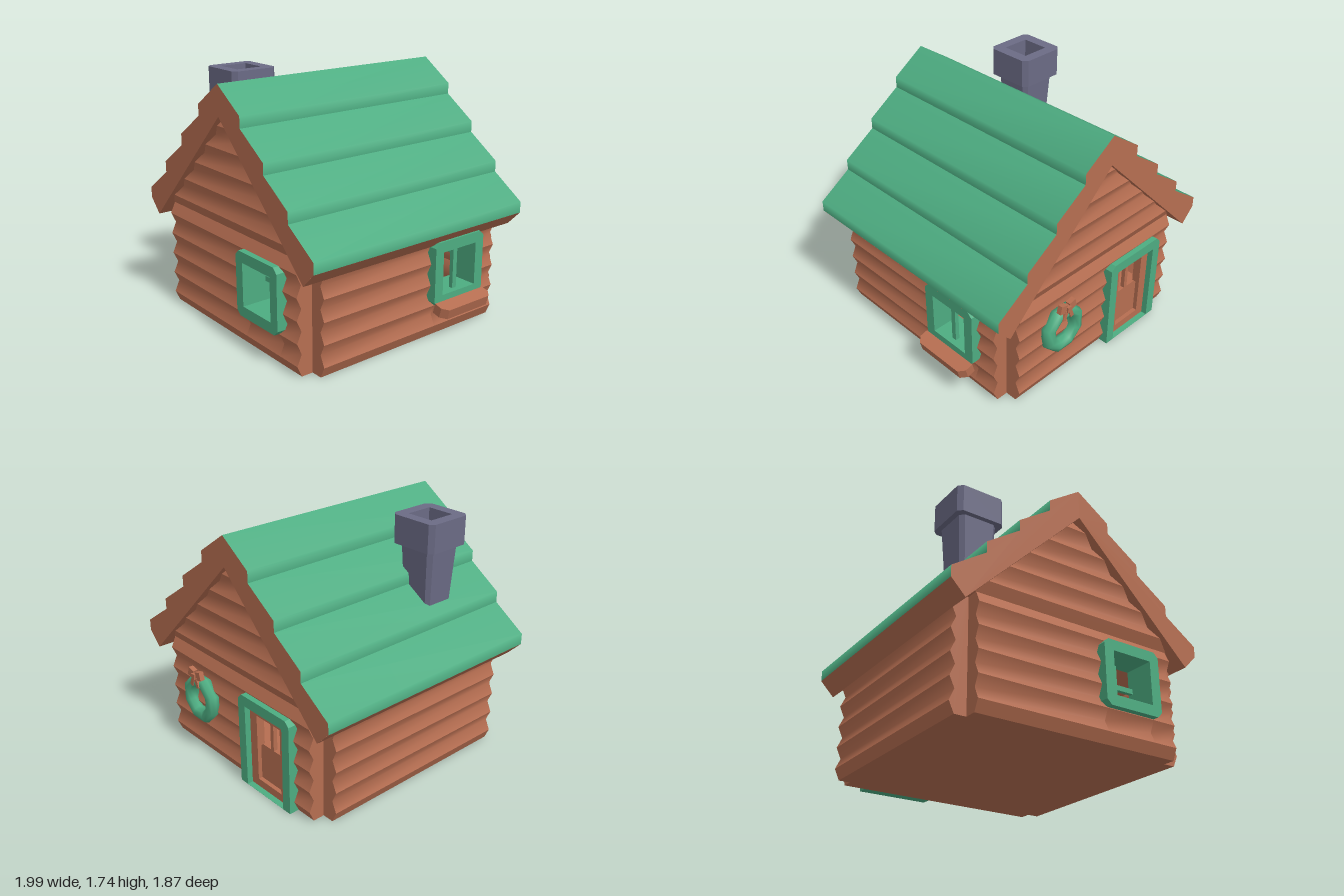
import * as THREE from 'three';

const mat = (name, color) => new THREE.MeshStandardMaterial({ name, color, side: THREE.DoubleSide });
const wood = mat('brown wood', 0xb66e51);
const green = mat('green paint', 0x4dac81);
const stone = mat('grey stone', 0x6b6b85);

const H = 0.153;          // height of one log
const CORNER = 0.757;     // half width of the wall panels
const VALLEY = 0.84, RIDGE = 0.875;
const EAVE = 5 * H, APEX = 10 * H;

function add(parent, name, geo, material, x = 0, y = 0, z = 0) {
  const m = new THREE.Mesh(geo, material);
  m.name = name;
  m.position.set(x, y, z);
  parent.add(m);
  return m;
}

const box = (w, h, d) => new THREE.BoxGeometry(w, h, d);

// Outward position of the log surface at a height
const logOut = y => {
  const t = (y / H) % 1;
  return VALLEY + (RIDGE - VALLEY) * (1 - Math.abs(2 * t - 1));
};

// Heights where the log surface bends, between two limits
function bends(y0, y1) {
  const ys = [y0];
  for (let k = 1; k < 21; k++) {
    const y = k * H / 2;
    if (y > y0 + 0.001 && y < y1 - 0.001) ys.push(y);
  }
  return [...ys, y1];
}

// Log surface between two sides; valleys are smooth, ridges are sharp
function logSurface(y0, y1, left, right) {
  const pos = [], index = [];
  let fresh = true;
  const row = y => { const z = logOut(y); pos.push(left(y), y, z, right(y), y, z); };
  const ys = bends(y0, y1);
  for (let i = 0; i < ys.length - 1; i++) {
    if (fresh) row(ys[i]);
    row(ys[i + 1]);
    const b = pos.length / 3 - 4;
    index.push(b, b + 1, b + 3, b, b + 3, b + 2);
    fresh = Math.round(ys[i + 1] / (H / 2)) % 2 === 1;
  }
  const g = new THREE.BufferGeometry();
  g.setAttribute('position', new THREE.Float32BufferAttribute(pos, 3));
  g.setIndex(index);
  g.computeVertexNormals();
  return g;
}

// Flat jagged end of a log wall
function logEnd() {
  const ys = bends(0, EAVE);
  const pts = ys.map(y => new THREE.Vector2(logOut(y), y));
  pts.push(new THREE.Vector2(CORNER, EAVE), new THREE.Vector2(CORNER, 0));
  return new THREE.ShapeGeometry(new THREE.Shape(pts)).rotateY(-Math.PI / 2);
}

// One wall, built around an optional opening [x0, x1, y0, y1]
function logWall(hole, gable) {
  const g = new THREE.Group();
  const piece = (x0, x1, y0, y1) => {
    if (y1 - y0 > 0.001) add(g, 'logWall', logSurface(y0, y1, () => x0, () => x1), wood);
  };
  if (hole) {
    const [x0, x1, y0, y1] = hole;
    piece(-CORNER, x0, 0, EAVE);
    piece(x1, CORNER, 0, EAVE);
    piece(x0, x1, 0, y0);
    piece(x0, x1, y1, EAVE);
  } else piece(-CORNER, CORNER, 0, EAVE);
  for (const s of [-1, 1]) add(g, 'logEnds', logEnd(), wood, s * CORNER);
  if (gable) {
    const half = y => (APEX - y) * 0.994 + 0.008;
    add(g, 'gableLogs', logSurface(EAVE, APEX, y => -half(y), half), wood);
  }
  return g;
}

// Rectangle with cut corners
function cutRect(x0, x1, y0, y1, c, cutBottom = true) {
  const b = cutBottom ? c : 0;
  return new THREE.Shape([[x0 + b, y0], [x1 - b, y0], [x1, y0 + b], [x1, y1 - c],
    [x1 - c, y1], [x0 + c, y1], [x0, y1 - c], [x0, y0 + b]].map(p => new THREE.Vector2(...p)));
}
const rectHole = (x0, x1, y0, y1) => new THREE.Path(
  [[x0, y0], [x0, y1], [x1, y1], [x1, y0]].map(p => new THREE.Vector2(...p)));
const extrude = (shape, depth) => new THREE.ExtrudeGeometry(shape, { depth, bevelEnabled: false });

// Window with deep frame and glazing bars
function makeWindow(barZ, crossed) {
  const g = new THREE.Group();
  const s = cutRect(-0.227, 0.227, 0.235, 0.69, 0.035);
  s.holes.push(rectHole(-0.153, 0.153, 0.31, 0.615));
  add(g, 'windowFrame', extrude(s, 0.217), green, 0, 0, 0.7);
  add(g, 'windowBar', box(0.036, 0.305, 0.03), green, 0, 0.4625, barZ);
  if (crossed) add(g, 'windowBar', box(0.305, 0.036, 0.028), green, 0, 0.4625, barZ);
  return g;
}

function makeDoor() {
  const g = new THREE.Group();
  const frame = cutRect(-0.26, 0.26, 0, 0.68, 0.035, false);
  frame.holes.push(rectHole(-0.19, 0.19, 0.001, 0.605));
  add(g, 'doorFrame', extrude(frame, 0.117), green, 0, 0, 0.795);
  const leaf = cutRect(-0.19, 0.19, 0.003, 0.605, 0);
  leaf.holes.push(rectHole(-0.12, 0.12, 0.06, 0.55));
  add(g, 'doorLeaf', extrude(leaf, 0.06), wood, 0, 0, 0.81);
  add(g, 'doorPanel', extrude(cutRect(-0.12, 0.12, 0.06, 0.33, 0.02, false), 0.03), wood, 0, 0, 0.81);
  add(g, 'doorBar', box(0.03, 0.23, 0.03), wood, 0, 0.44, 0.825);
  return g;
}

function makeWreath() {
  const g = new THREE.Group();
  add(g, 'wreath', new THREE.TorusGeometry(0.135, 0.05, 8, 8), green, 0, 0.437, 0.89).rotation.z = Math.PI / 8;
  for (const s of [-1, 1]) {
    add(g, 'bowLoop', box(0.055, 0.06, 0.035), wood, s * 0.043, 0.637, 0.925).rotation.z = s * 0.25;
    add(g, 'bowTail', box(0.028, 0.075, 0.02), wood, s * 0.025, 0.58, 0.935).rotation.z = s * 0.35;
  }
  add(g, 'bowKnot', box(0.035, 0.04, 0.045), wood, 0, 0.625, 0.932);
  return g;
}

// Surface swept along z over a profile
function ribbon(pts, z) {
  const pos = [], index = [];
  pts.forEach(([x, y], i) => {
    pos.push(x, y, -z, x, y, z);
    if (i) { const b = 2 * i - 2; index.push(b, b + 1, b + 3, b, b + 3, b + 2); }
  });
  const g = new THREE.BufferGeometry();
  g.setAttribute('position', new THREE.Float32BufferAttribute(pos, 3));
  g.setIndex(index);
  g.computeVertexNormals();
  return g;
}

function makeRoof() {
  const g = new THREE.Group(), D = 0.91, W = 0.2432, outline = [];
  for (let i = 0; i < 4; i++) {
    const y = 1.74 - 0.244 * i;
    const strip = [[W * i, y], [W * (i + 1), y - 0.166], [W * (i + 1), y - 0.244]];
    outline.push(...strip.slice(i ? 1 : 0));
    for (const s of [-1, 1]) add(g, 'roofCourse', ribbon(strip.map(([x, h]) => [s * x, h]), D), green);
  }
  const eave = [[0.973, 0.764], [0.872, 0.66]];
  outline.push(eave[1], [0, APEX]);
  for (const s of [-1, 1]) {
    add(g, 'eave', ribbon(eave.map(([x, y]) => [s * x, y]), D), wood);
    add(g, 'roofUnderside', ribbon([[s * 0.872, 0.66], [0, APEX]], D), wood);
    const shape = new THREE.Shape(outline.map(([x, y]) => new THREE.Vector2(s * x, y)));
    for (const e of [0, 1]) {
      add(g, 'bargeboard', new THREE.ShapeGeometry(shape).rotateY(e * Math.PI), wood, 0, 0, e ? -D : D);
    }
  }
  return g;
}

function makeChimney() {
  const g = new THREE.Group();
  const up = geo => geo.rotateX(-Math.PI / 2);
  const cap = cutRect(-0.18, 0.18, -0.178, 0.178, 0.032);
  cap.holes.push(rectHole(-0.1, 0.1, -0.1, 0.1));
  add(g, 'chimneyCap', up(extrude(cap, 0.2)), stone, 0, 1.53);
  // Shaft narrows towards the roof
  const shaft = up(extrude(cutRect(-0.143, 0.143, -0.143, 0.143, 0.03), 0.44));
  const p = shaft.attributes.position;
  for (let i = 0; i < p.count; i++) {
    const k = 0.82 + 0.18 * p.getY(i) / 0.44;
    p.setXYZ(i, p.getX(i) * k, p.getY(i), p.getZ(i) * k);
  }
  shaft.computeVertexNormals();
  add(g, 'chimneyShaft', shaft, stone, 0, 1.1);
  return g;
}

export function createModel() {
  const model = new THREE.Group();
  const house = new THREE.Group();
  house.name = 'cabin';
  house.position.set(-0.027, 0, 0.021);
  model.add(house);

  const put = (name, group, parent = house, x = 0, z = 0) => {
    group.name = name;
    group.position.set(x, 0, z);
    parent.add(group);
    return group;
  };

  // Walls: front, left, back, right
  const X = 0.384, DX = 0.345;
  const opening = [X - 0.19, X + 0.19, 0.27, 0.655];
  const front = put('frontWall', logWall(opening, true));
  const left = put('leftWall', logWall(opening, false));
  const back = put('backWall', logWall([DX - 0.225, DX + 0.225, 0, 0.645], true));
  const right = put('rightWall', logWall(null, false));
  [front, left, back, right].forEach((w, i) => { w.rotation.y = i * Math.PI / 2; });

  put('frontWindow', makeWindow(0.725, true), front, X);
  put('sideWindow', makeWindow(0.86, false), left, 0.376);
  put('door', makeDoor(), back, DX);
  put('wreathWithBow', makeWreath(), back, -0.38);

  // Tilted sill with cut outer corners
  const sill = new THREE.Shape([[-0.23, 0], [0.23, 0], [0.23, 0.06], [0.19, 0.1], [-0.19, 0.1], [-0.23, 0.06]]
    .map(p => new THREE.Vector2(...p)));
  const sillMesh = add(left, 'windowSill', extrude(sill, 0.073), wood, 0.378, 0.27, 0.924);
  sillMesh.rotation.x = Math.PI / 2 + 0.26;

  // Cross-shaped floor
  const a = CORNER, b = VALLEY;
  const floor = new THREE.Shape([[-a, -b], [a, -b], [a, -a], [b, -a], [b, a], [a, a], [a, b], [-a, b],
    [-a, a], [-b, a], [-b, -a], [-a, -a]].map(p => new THREE.Vector2(...p)));
  add(house, 'floor', new THREE.ShapeGeometry(floor).rotateX(Math.PI / 2), wood);

  put('roof', makeRoof());
  put('chimney', makeChimney(), house, -0.537, 0.377);
  return model;
}
